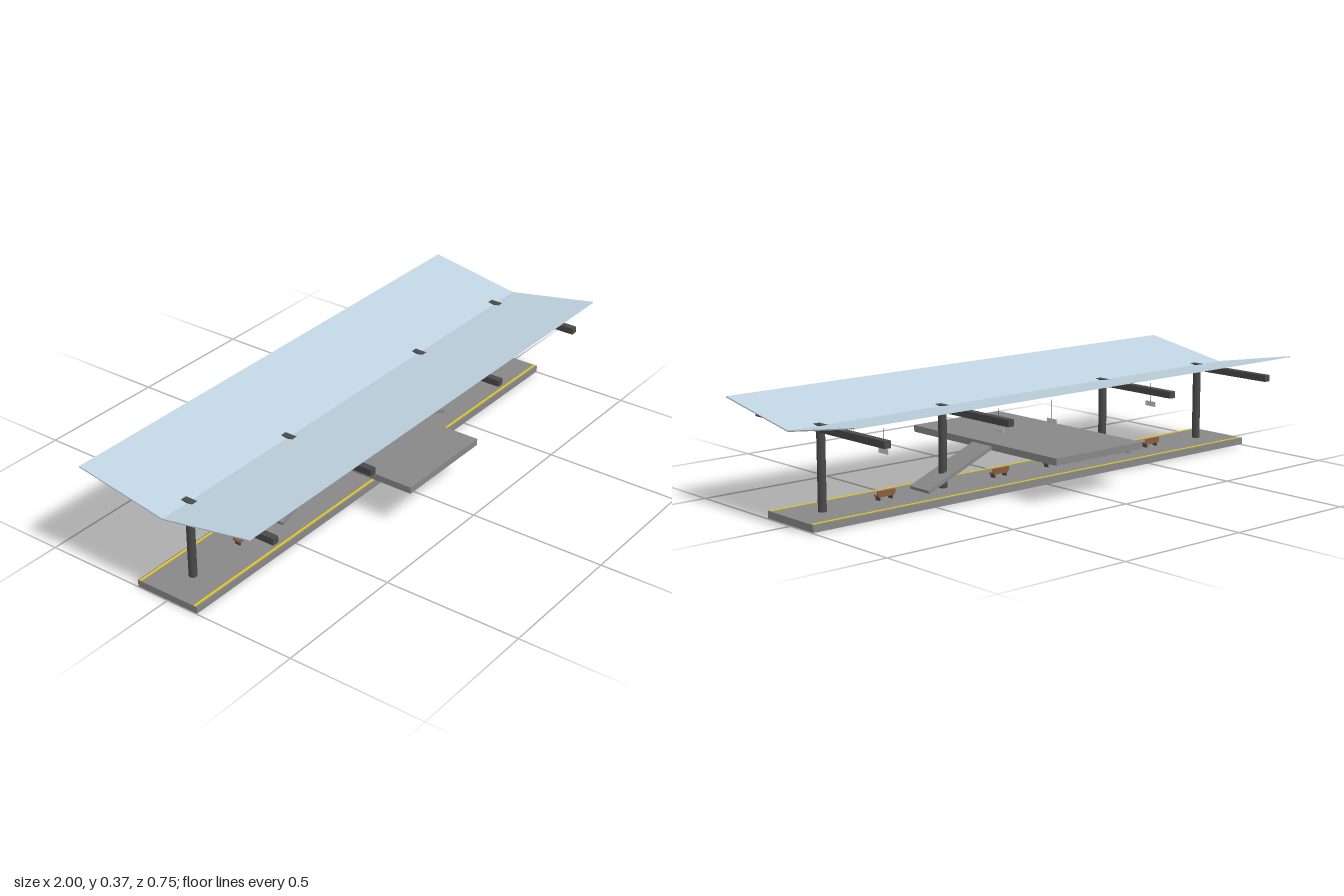
import * as THREE from 'three';

const paint = (color) => new THREE.MeshStandardMaterial({ color });
const concrete = paint(0x888888);
const steel = paint(0x4a4a4a);
const roofSheet = paint(0xbfd3e0);
const wood = paint(0x8b5a3c);
const yellow = paint(0xe6c619);
const signGrey = paint(0xcccccc);

export function createModel() {
  const station = new THREE.Group();
  station.name = 'stationPlatform';

  const add = (name, geometry, material, x, y, z, parent = station) => {
    const mesh = new THREE.Mesh(geometry, material);
    mesh.name = name;
    mesh.position.set(x, y, z);
    parent.add(mesh);
    return mesh;
  };
  const box = (w, h, d) => new THREE.BoxGeometry(w, h, d);

  // Platform slab with yellow safety lines along both edges
  add('platform', box(2, 0.025, 0.25), concrete, 0, 0.015, 0);
  for (const s of [-1, 1]) {
    add('safetyLine', box(2, 0.002, 0.008), yellow, 0, 0.028, s * 0.115);
  }

  // Posts carrying cross beams
  const postGeometry = new THREE.CylinderGeometry(0.0145, 0.0145, 0.3, 16);
  for (const x of [-0.875, -0.375, 0.375, 0.875]) {
    add('post', postGeometry, steel, x, 0.15, 0);
    add('crossBeam', box(0.025, 0.0235, 0.7), steel, x, 0.3015, 0);
  }

  // Butterfly roof: two thin wings meeting in a central valley
  for (const s of [-1, 1]) {
    const wing = add('roofWing', box(2, 0.004, 0.357), roofSheet, 0, 0.338, s * 0.1757);
    wing.rotation.x = -s * THREE.MathUtils.degToRad(10);
  }

  // Footbridge deck crossing the platform, with a sloping stair slab each side
  add('footbridgeDeck', box(0.4, 0.024, 0.75), concrete, 0, 0.151, 0);
  for (const s of [-1, 1]) {
    const ramp = add('stairRamp', box(0.3, 0.0125, 0.1), concrete, s * 0.338, 0.0915, 0);
    ramp.rotation.z = -s * THREE.MathUtils.degToRad(22);
  }

  // Benches and hanging signs
  for (const x of [-0.625, -0.125, 0.125, 0.625]) {
    const bench = new THREE.Group();
    bench.name = 'bench';
    bench.position.set(x, 0.0275, 0);
    station.add(bench);
    add('seat', box(0.065, 0.005, 0.025), wood, 0, 0.0145, 0, bench);
    add('backrest', box(0.072, 0.015, 0.004), wood, 0, 0.0255, -0.011, bench);
    for (const s of [-1, 1]) {
      add('benchLeg', box(0.005, 0.0125, 0.02), steel, s * 0.026, 0.00625, 0, bench);
    }

    const sign = new THREE.Group();
    sign.name = 'hangingSign';
    sign.position.set(x, 0, 0);
    station.add(sign);
    add('signPanel', box(0.0025, 0.018, 0.05), signGrey, 0, 0.19, 0, sign);
    add('signRod', new THREE.CylinderGeometry(0.001, 0.001, 0.07, 8), steel, 0, 0.232, 0, sign);
  }

  return station;
}
